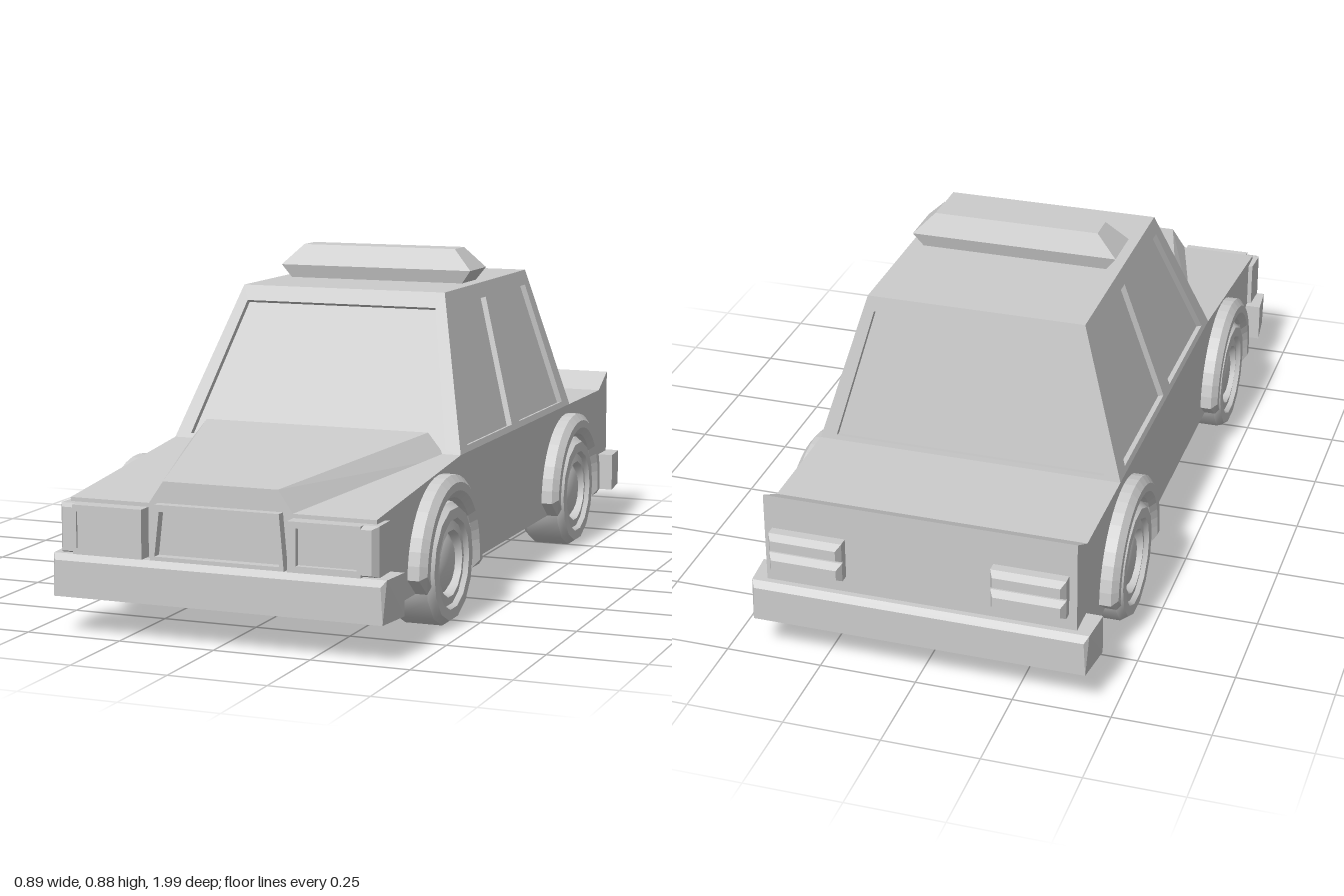
import * as THREE from 'three';
import { toCreasedNormals } from 'three/addons/utils/BufferGeometryUtils.js';
import { ConvexGeometry } from 'three/addons/geometries/ConvexGeometry.js';

const flat = new THREE.MeshStandardMaterial({ color: 0xcccccc, flatShading: true });
const smooth = new THREE.MeshStandardMaterial({ color: 0xcccccc });
const thin = new THREE.MeshStandardMaterial({ color: 0xcccccc, side: THREE.DoubleSide });
const V = (x, y, z) => new THREE.Vector3(x, y, z);

const AXLES = [-0.535, 0.53];
const AXLE_Y = 0.155, WELL_R = 0.165, SILL = 0.11;

export function createModel() {
  const car = new THREE.Group();
  car.name = 'car';

  const add = (name, geometry, material = flat) => {
    const mesh = new THREE.Mesh(geometry, material);
    mesh.name = name;
    car.add(mesh);
    return mesh;
  };
  // Faceted solid from rectangles [y, z, x0, x1], all corners joined as a convex hull
  const hull = (name, edges) =>
    add(name, new ConvexGeometry(edges.flatMap(([y, z, x0, x1]) => [V(x0, y, z), V(x1, y, z)])));
  // Same, symmetric about x = 0
  const hullMid = (name, edges) => hull(name, edges.map(([y, z, x]) => [y, z, -x, x]));
  // Side profile in (z, y), extruded across x from x0 to x1
  const acrossX = (shape, x0, x1, options = {}) =>
    new THREE.ExtrudeGeometry(shape, { depth: x1 - x0, bevelEnabled: false, curveSegments: 10, ...options })
      .rotateY(-Math.PI / 2).translate(x1, 0, 0);
  const polygon = (pts) => new THREE.Shape(pts.map(([a, b]) => new THREE.Vector2(a, b)));

  // Lower body with wheel cutouts and a kicked-up tail
  const side = new THREE.Shape();
  side.moveTo(0.955, SILL);
  [[0.955, 0.34], [0.37, 0.4], [-0.87, 0.4], [-0.955, 0.445], [-0.955, SILL]].forEach((p) => side.lineTo(...p));
  for (const z of AXLES) {
    side.lineTo(z - WELL_R, SILL);
    side.absarc(z, AXLE_Y, WELL_R, Math.PI, 0, true);
    side.lineTo(z + WELL_R, SILL);
  }
  add('body', acrossX(side, -0.4, 0.4));
  add('wheelWellCore', new THREE.BoxGeometry(0.58, 0.22, 1.6).translate(0, 0.224, 0));
  add('chassis', acrossX(polygon([[0.88, 0.12], [-0.75, 0.12], [-0.72, 0.07], [0.72, 0.07]]), -0.22, 0.22));

  // Raised hood panel
  hullMid('hoodBulge', [
    [0.33, 0.955, 0.195], [0.395, 0.955, 0.15],
    [0.39, 0.365, 0.36], [0.452, 0.365, 0.31],
  ]);

  // Cabin panel from four corners (bottom left, bottom right, top right, top left
  // seen from outside) with window openings [s0, s1, t0, t1] and recessed glass
  const panel = (name, [bl, br, tr, tl], windows = []) => {
    const u = br.clone().sub(bl).normalize();
    const n = u.clone().cross(tl.clone().sub(bl)).normalize();
    const v = n.clone().cross(u);
    const flatten = (p) => {
      const d = p.clone().sub(bl);
      return new THREE.Vector2(d.dot(u), d.dot(v));
    };
    const at = (s, t) => flatten(bl.clone().lerp(br, s).lerp(tl.clone().lerp(tr, s), t));
    const outline = [bl, br, tr, tl].map(flatten);
    const frame = new THREE.Shape(outline);
    for (const [s0, s1, t0, t1] of windows)
      frame.holes.push(new THREE.Path([at(s0, t0), at(s0, t1), at(s1, t1), at(s1, t0)]));
    const place = new THREE.Matrix4().makeBasis(u, v, n).setPosition(bl);
    add(name, new THREE.ExtrudeGeometry(frame, { depth: 0.02, bevelEnabled: false })
      .translate(0, 0, -0.02).applyMatrix4(place));
    if (windows.length)
      add(name + 'Glass', new THREE.ShapeGeometry(new THREE.Shape(outline))
        .translate(0, 0, -0.015).applyMatrix4(place), thin);
  };
  const base = (sx, front) => V(sx * 0.4, 0.4, front ? 0.37 : -0.57);
  const top = (sx, front) => V(sx * 0.285, 0.79, front ? 0.175 : -0.5);
  const screen = [[0.05, 0.95, 0.03, 0.9]];
  panel('windshield', [base(-1, true), base(1, true), top(1, true), top(-1, true)], screen);
  panel('rearWindow', [base(1, false), base(-1, false), top(-1, false), top(1, false)], screen);
  panel('leftCabinSide', [base(1, true), base(1, false), top(1, false), top(1, true)],
    [[0.06, 0.45, 0.04, 0.9], [0.52, 0.94, 0.04, 0.9]]);
  panel('rightCabinSide', [base(-1, false), base(-1, true), top(-1, true), top(-1, false)],
    [[0.06, 0.48, 0.04, 0.9], [0.55, 0.94, 0.04, 0.9]]);
  panel('roof', [top(-1, true), top(1, true), top(1, false), top(-1, false)]);

  // Roof light bar
  hullMid('lightBar', [
    [0.785, -0.065, 0.245], [0.785, -0.175, 0.245],
    [0.825, -0.055, 0.275], [0.825, -0.185, 0.275],
    [0.88, -0.085, 0.22], [0.88, -0.16, 0.22],
  ]);

  // Bumpers
  const bumper = (name, zIn, zOut) => {
    const zTop = zOut - Math.sign(zOut) * 0.015;
    hullMid(name, [
      [0.1, zIn, 0.443], [0.205, zIn, 0.443], [0.205, zTop, 0.435],
      [0.19, zOut, 0.425], [0.1, zOut, 0.43],
    ]);
  };
  bumper('frontBumper', 0.885, 0.995);
  bumper('rearBumper', -0.875, -0.985);

  // Grille: recessed trapezoid
  const grille = polygon([[-0.175, 0.205], [0.175, 0.205], [0.163, 0.342], [-0.163, 0.342]]);
  grille.holes.push(polygon([[-0.163, 0.215], [-0.15, 0.325], [0.15, 0.325], [0.163, 0.215]]));
  add('grilleFrame', new THREE.ExtrudeGeometry(grille, { depth: 0.035, bevelEnabled: false }).translate(0, 0, 0.945));

  // Wheel: tyre, rim and hub in one turned profile
  const wheelProfile = [
    [0, 0], [0.14, 0], [0.155, 0.015], [0.155, 0.112], [0.142, 0.13], [0.115, 0.13],
    [0.108, 0.118], [0.085, 0.122], [0.078, 0.1], [0.06, 0.112], [0, 0.112],
  ].map(([r, y]) => new THREE.Vector2(r, y));
  const wheelGeometry = toCreasedNormals(
    new THREE.LatheGeometry(wheelProfile, 14).rotateZ(-Math.PI / 2).translate(0.31, 0, 0), 0.6);

  for (const s of [1, -1]) {
    const label = s > 0 ? 'left' : 'right';

    // Wheels and flared arches
    AXLES.forEach((z, i) => {
      const end = i ? 'Front' : 'Rear';
      const wheel = add(label + end + 'Wheel', wheelGeometry, smooth);
      wheel.position.set(0, AXLE_Y, z);
      wheel.rotation.y = s > 0 ? 0 : Math.PI;

      const arch = new THREE.Shape();
      arch.moveTo(0.222, SILL - AXLE_Y);
      arch.absarc(0, 0, 0.222, 0, Math.PI, false);
      arch.lineTo(-0.222, SILL - AXLE_Y);
      arch.lineTo(-WELL_R, SILL - AXLE_Y);
      arch.absarc(0, 0, WELL_R, Math.PI, 0, true);
      arch.lineTo(WELL_R, SILL - AXLE_Y);
      const flare = add(label + end + 'Arch', acrossX(arch, 0.375, 0.43,
        { bevelEnabled: true, bevelThickness: 0.015, bevelSize: 0.018, bevelOffset: -0.018, bevelSegments: 1 }));
      flare.position.set(0, AXLE_Y, z);
      flare.rotation.y = s > 0 ? 0 : Math.PI;
    });

    // Headlight: rim, recessed lens and wraparound corner lamp
    const rect = (x0, x1, y0, y1) => polygon([[s * x0, y0], [s * x1, y0], [s * x1, y1], [s * x0, y1]]);
    const rim = rect(0.19, 0.375, 0.208, 0.33);
    rim.holes.push(rect(0.212, 0.365, 0.224, 0.314));
    add(label + 'HeadlightRim', new THREE.ExtrudeGeometry(rim, { depth: 0.05, bevelEnabled: false }).translate(0, 0, 0.945));
    add(label + 'HeadlightLens', new THREE.BoxGeometry(0.17, 0.11, 0.035).translate(s * 0.285, 0.269, 0.9625));
    hull(label + 'CornerLamp', [
      [0.208, 0.9, s * 0.37, s * 0.412], [0.33, 0.9, s * 0.37, s * 0.412],
      [0.208, 0.975, s * 0.37, s * 0.415], [0.33, 0.975, s * 0.37, s * 0.415],
      [0.215, 0.995, s * 0.37, s * 0.402], [0.323, 0.995, s * 0.37, s * 0.402],
    ]);

    // Tail light: two bevelled bars on a plate
    add(label + 'TailLightPlate', new THREE.BoxGeometry(0.19, 0.105, 0.03).translate(s * 0.285, 0.302, -0.96));
    for (const y of [0.25, 0.305])
      hull(label + 'TailLightBar', [
        [y, -0.95, s * 0.19, s * 0.38], [y + 0.05, -0.95, s * 0.19, s * 0.38],
        [y, -0.98, s * 0.19, s * 0.38], [y + 0.05, -0.98, s * 0.19, s * 0.38],
        [y + 0.012, -0.998, s * 0.2, s * 0.37], [y + 0.038, -0.998, s * 0.2, s * 0.37],
      ]);
  }
  return car;
}
